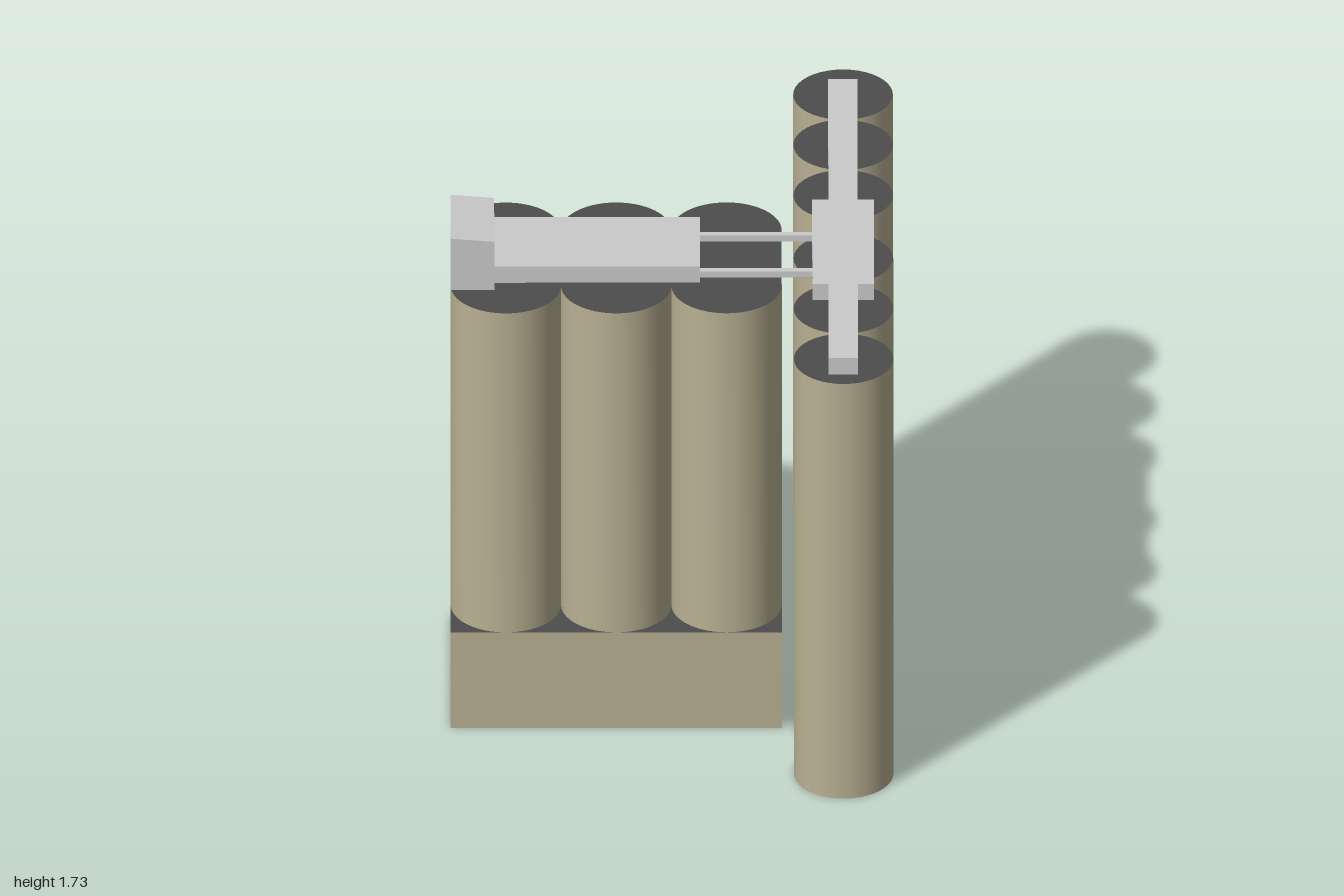
import * as THREE from 'three';
import { toCreasedNormals } from 'three/addons/utils/BufferGeometryUtils.js';

const paint = (name, color) => {
  const m = new THREE.MeshStandardMaterial({ color });
  m.name = name;
  return m;
};

export function createModel() {
  const group = new THREE.Group();
  const concrete = paint('beige concrete', 0xb8af92);
  const roof = paint('dark roof', 0x4d4d4d);
  const metal = paint('light grey', 0xcacaca);

  const add = (name, geometry, material) => {
    const mesh = new THREE.Mesh(geometry, material);
    mesh.name = name;
    group.add(mesh);
    return mesh;
  };
  // Box given by its limits on each axis
  const box = (name, x0, x1, y0, y1, z0, z1, material) => {
    const g = new THREE.BoxGeometry(x1 - x0, y1 - y0, z1 - z0);
    g.translate((x0 + x1) / 2, (y0 + y1) / 2, (z0 + z1) / 2);
    return add(name, g, material);
  };

  const TOP = 1.54, DECK = 1.6, BASE = 0.355;

  // Row of six free-standing round silos, with a wider gap in the middle
  for (const z of [-0.84, -0.52, -0.2, 0.2, 0.52, 0.84]) {
    const silo = add('roundSilo', new THREE.CylinderGeometry(0.16, 0.16, TOP, 40), [concrete, roof, concrete]);
    silo.position.set(0.55, TOP / 2, z);
  }

  // Plinth with a dark top
  box('plinth', -0.71, 0.352, 0, BASE, -0.155, 0.55,
    [concrete, concrete, roof, concrete, concrete, concrete]);

  // Three round-ended silos side by side on the plinth
  const r = 0.177, z0 = 0.022, z1 = 0.373;
  const outline = new THREE.Shape();
  outline.absarc(0, -z0, r, 0, Math.PI, false);
  outline.absarc(0, -z1, r, Math.PI, Math.PI * 2, false);
  outline.closePath();
  const extruded = new THREE.ExtrudeGeometry(outline, { depth: TOP - BASE, bevelEnabled: false, curveSegments: 20 });
  extruded.rotateX(-Math.PI / 2);
  const longSilo = toCreasedNormals(extruded, 0.6);
  for (let i = 0; i < 3; i++) {
    add('roundEndedSilo', longSilo, [roof, concrete]).position.set(-0.533 + i * 2 * r, BASE, 0);
  }

  // Gallery over the silo block
  box('gallery', -0.57, 0.09, TOP, DECK, 0.04, 0.355, metal);
  box('galleryEnd', -0.71, -0.57, TOP, DECK, 0.04, 0.12, metal);

  // Head house with a slightly sloping roof
  const head = box('headHouse', -0.71, -0.57, TOP, 1.73, 0.12, 0.4, metal);
  const p = head.geometry.attributes.position;
  for (let i = 0; i < p.count; i++) {
    if (p.getY(i) > 1.7 && p.getX(i) > -0.6) p.setY(i, 1.718);
  }
  head.geometry.computeVertexNormals();

  // Two narrow bridges to the silo row
  for (const z of [0.082, 0.31]) box('bridge', 0.09, 0.45, TOP, 1.562, z - 0.011, z + 0.011, metal);

  // Conveyor along the silo row with a wider transfer house
  box('transferHouse', 0.45, 0.648, TOP, DECK, -0.07, 0.467, metal);
  box('conveyorBack', 0.502, 0.596, TOP, DECK, -0.836, -0.07, metal);
  box('conveyorFront', 0.502, 0.596, TOP, DECK, 0.467, 0.938, metal);

  return group;
}
